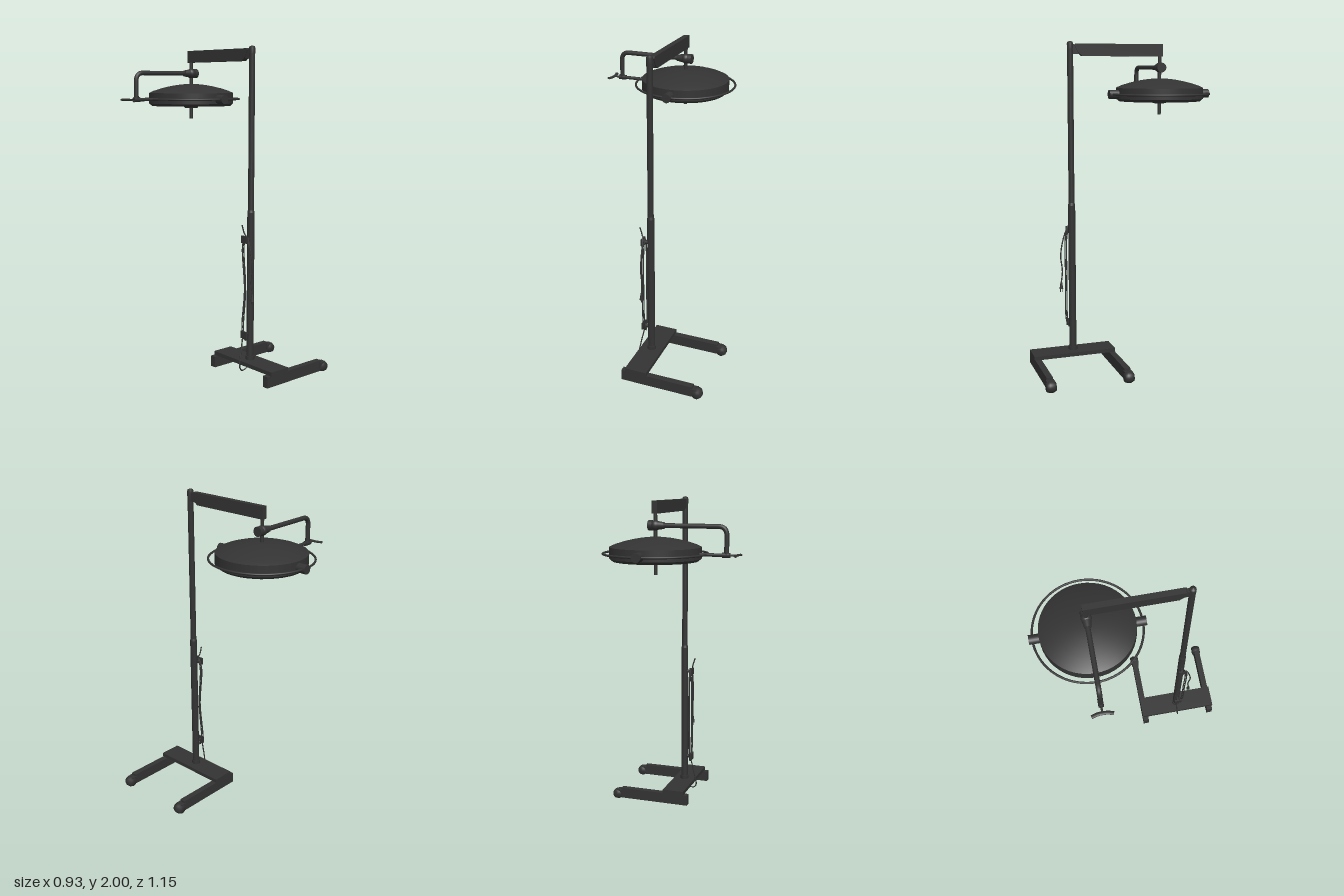
import * as THREE from 'three';

const dark = new THREE.MeshStandardMaterial({ color: 0x333333, side: THREE.DoubleSide });
const X = 0.035, COL_Z = 0.31, LAMP_Z = -0.255, LAMP_Y = 1.685;
const V = (x, y, z) => new THREE.Vector3(x, y, z);

export function createModel() {
  const root = new THREE.Group();

  const add = (name, geo, x = 0, y = 0, z = 0, parent = root) => {
    const m = new THREE.Mesh(geo, dark);
    m.name = name;
    m.position.set(x, y, z);
    parent.add(m);
    return m;
  };
  const box = (name, x0, x1, y0, y1, z0, z1) =>
    add(name, new THREE.BoxGeometry(x1 - x0, y1 - y0, z1 - z0), (x0 + x1) / 2, (y0 + y1) / 2, (z0 + z1) / 2);
  // Cylinder between two points
  const rod = (name, a, b, r0, r1 = r0, sides = 24) => {
    const d = b.clone().sub(a);
    const m = add(name, new THREE.CylinderGeometry(r1, r0, d.length(), sides));
    m.position.copy(a).addScaledVector(d, 0.5);
    m.quaternion.setFromUnitVectors(V(0, 1, 0), d.normalize());
    return m;
  };
  const tube = (name, pts, r, closed = false, seg = 60) =>
    add(name, new THREE.TubeGeometry(new THREE.CatmullRomCurve3(pts, closed), seg, r, 8, closed));
  const lathe = (name, pts, x, y, z) =>
    add(name, new THREE.LatheGeometry(pts.map(p => new THREE.Vector2(...p)), 48), x, y, z);

  // Base plate, two legs and barrel-shaped casters
  box('basePlate', -0.035, 0.105, 0.083, 0.107, 0.055, 0.57);
  for (const z of [0.074, 0.546]) {
    box('baseLeg', -0.062, 0.4, 0.015, 0.083, z - 0.019, z + 0.019);
    const wheel = lathe('caster', [[0, -0.028], [0.026, -0.028], [0.034, -0.01], [0.034, 0.01], [0.026, 0.028], [0, 0.028]], 0.427, 0.038, z);
    wheel.rotation.x = Math.PI / 2;
    box('casterFork', 0.39, 0.43, 0.03, 0.07, z - 0.024, z + 0.024);
  }

  // Two-stage column
  const col = (name, r, y0, y1) => rod(name, V(X, y0, COL_Z), V(X, y1, COL_Z), r);
  col('columnCollar', 0.027, 0.105, 0.13);
  col('lowerColumn', 0.022, 0.105, 1.02);
  rod('columnTaper', V(X, 1.02, COL_Z), V(X, 1.035, COL_Z), 0.022, 0.018);
  col('upperColumn', 0.018, 1.03, 1.985);
  lathe('columnCap', [[0.019, -0.03], [0.019, 0], [0.015, 0.01], [0, 0.015]], X, 1.985, COL_Z);

  // Cantilever arm, cut at a slant beside the column
  const side = new THREE.Shape([[0.285, 1.975], [0.275, 1.985], [-0.27, 1.985], [-0.27, 1.912], [0.24, 1.912], [0.265, 1.935]]
    .map(([z, y]) => new THREE.Vector2(-z, y)));
  const arm = new THREE.ExtrudeGeometry(side, { depth: 0.034, bevelEnabled: false });
  arm.translate(0, 0, -0.017);
  arm.rotateY(Math.PI / 2);
  add('cantileverArm', arm, X);
  box('armBracket', X - 0.012, X + 0.012, 1.925, 1.98, 0.25, 0.31);

  // Swivel joint below the arm
  rod('swivelStem', V(X, 1.77, LAMP_Z), V(X, 1.915, LAMP_Z), 0.011);
  add('swivelBall', new THREE.SphereGeometry(0.03, 24, 16), X, 1.845, LAMP_Z);
  rod('swivelCap', V(0.05, 1.845, LAMP_Z), V(0.076, 1.845, LAMP_Z), 0.029);
  rod('swivelSleeve', V(-0.02, 1.845, LAMP_Z), V(0.025, 1.845, LAMP_Z), 0.019, 0.026);

  // Bent side arm, drawn straight - bend - straight
  const bend = new THREE.CurvePath();
  bend.add(new THREE.LineCurve3(V(0.02, 1.845, LAMP_Z), V(-0.34, 1.845, LAMP_Z)));
  bend.add(new THREE.QuadraticBezierCurve3(V(-0.34, 1.845, LAMP_Z), V(-0.39, 1.845, LAMP_Z), V(-0.39, 1.795, LAMP_Z)));
  bend.add(new THREE.LineCurve3(V(-0.39, 1.795, LAMP_Z), V(-0.39, 1.68, LAMP_Z)));
  add('sideArm', new THREE.TubeGeometry(bend, 80, 0.014, 14));
  rod('sideArmHub', V(-0.41, LAMP_Y, LAMP_Z), V(-0.365, LAMP_Y, LAMP_Z), 0.015);
  rod('lampPivot', V(-0.37, LAMP_Y, LAMP_Z), V(-0.23, LAMP_Y, LAMP_Z), 0.01);
  rod('gripStem', V(-0.445, LAMP_Y, LAMP_Z), V(-0.4, LAMP_Y, LAMP_Z), 0.006);
  const grip = tube('sideGrip', [V(-0.457, 0, -0.06), V(-0.448, 0, -0.03), V(-0.446, 0, 0), V(-0.448, 0, 0.03), V(-0.457, 0, 0.06)], 0.011, false, 24);
  grip.position.set(0, LAMP_Y, LAMP_Z);
  grip.scale.y = 0.6;

  // Domed lamp head; separate surfaces keep the rims crisp
  lathe('lampDome', [[0.268, 0.038], [0.24, 0.051], [0.19, 0.067], [0.14, 0.079], [0.09, 0.088], [0.045, 0.093], [0, 0.094]], X, LAMP_Y, LAMP_Z);
  lathe('lampRim', [[0.268, -0.028], [0.268, 0.038]], X, LAMP_Y, LAMP_Z);
  lathe('lampLowerBevel', [[0.25, -0.043], [0.268, -0.028]], X, LAMP_Y, LAMP_Z);
  lathe('lampLens', [[0, -0.043], [0.25, -0.043]], X, LAMP_Y, LAMP_Z);
  rod('handleMount', V(X, 1.629, LAMP_Z), V(X, 1.645, LAMP_Z), 0.04, 0.05, 32);
  rod('sterileHandle', V(X, 1.56, LAMP_Z), V(X, 1.64, LAMP_Z), 0.01);

  // Guard ring and its two end lugs
  const ring = add('guardRing', new THREE.TorusGeometry(0.305, 0.0065, 10, 96), X, LAMP_Y, LAMP_Z);
  ring.rotation.x = Math.PI / 2;
  for (const s of [-1, 1])
    rod('ringLug', V(X, LAMP_Y, LAMP_Z + s * 0.25), V(X, LAMP_Y, LAMP_Z + s * 0.325), 0.027);

  // Cable hooks on the column
  for (const y of [0.27, 0.86]) {
    rod('hookStem', V(0.02, y, COL_Z), V(-0.015, y, COL_Z), 0.011, 0.011, 12);
    box('hookPlate', -0.022, -0.012, y - 0.022, y + 0.022, 0.285, 0.335);
  }

  // Cable wound round the hooks, with loose ends and a plug
  for (const [x, w] of [[-0.002, 0.019], [-0.008, 0.025]])
    tube('cableCoil', [V(x, 0.88, 0.31), V(x, 0.84, 0.31 + w), V(x - 0.004, 0.55, 0.31 + w * 1.2), V(x, 0.27, 0.31 + w),
      V(x, 0.235, 0.31), V(x, 0.29, 0.31 - w), V(x + 0.006, 0.55, 0.31 - w * 0.5), V(x, 0.82, 0.31 - w)], 0.004, true, 100);
  tube('looseCable', [V(-0.036, 0.95, 0.31), V(-0.02, 0.9, 0.312), V(-0.01, 0.87, 0.33), V(-0.008, 0.8, 0.355),
    V(-0.008, 0.7, 0.371), V(-0.006, 0.6, 0.362), V(-0.005, 0.53, 0.37)], 0.004);
  rod('plugBody', V(-0.005, 0.535, 0.37), V(-0.005, 0.49, 0.37), 0.005, 0.012, 12);
  for (const dz of [-0.006, 0.006])
    rod('plugPin', V(-0.005, 0.49, 0.37 + dz), V(-0.005, 0.47, 0.37 + dz), 0.002, 0.002, 8);
  tube('lowerCable', [V(-0.01, 0.27, 0.295), V(-0.025, 0.2, 0.3), V(-0.042, 0.12, 0.305), V(-0.048, 0.07, 0.31),
    V(-0.03, 0.048, 0.31), V(0.01, 0.06, 0.31), V(0.02, 0.09, 0.31)], 0.004);

  return root;
}
